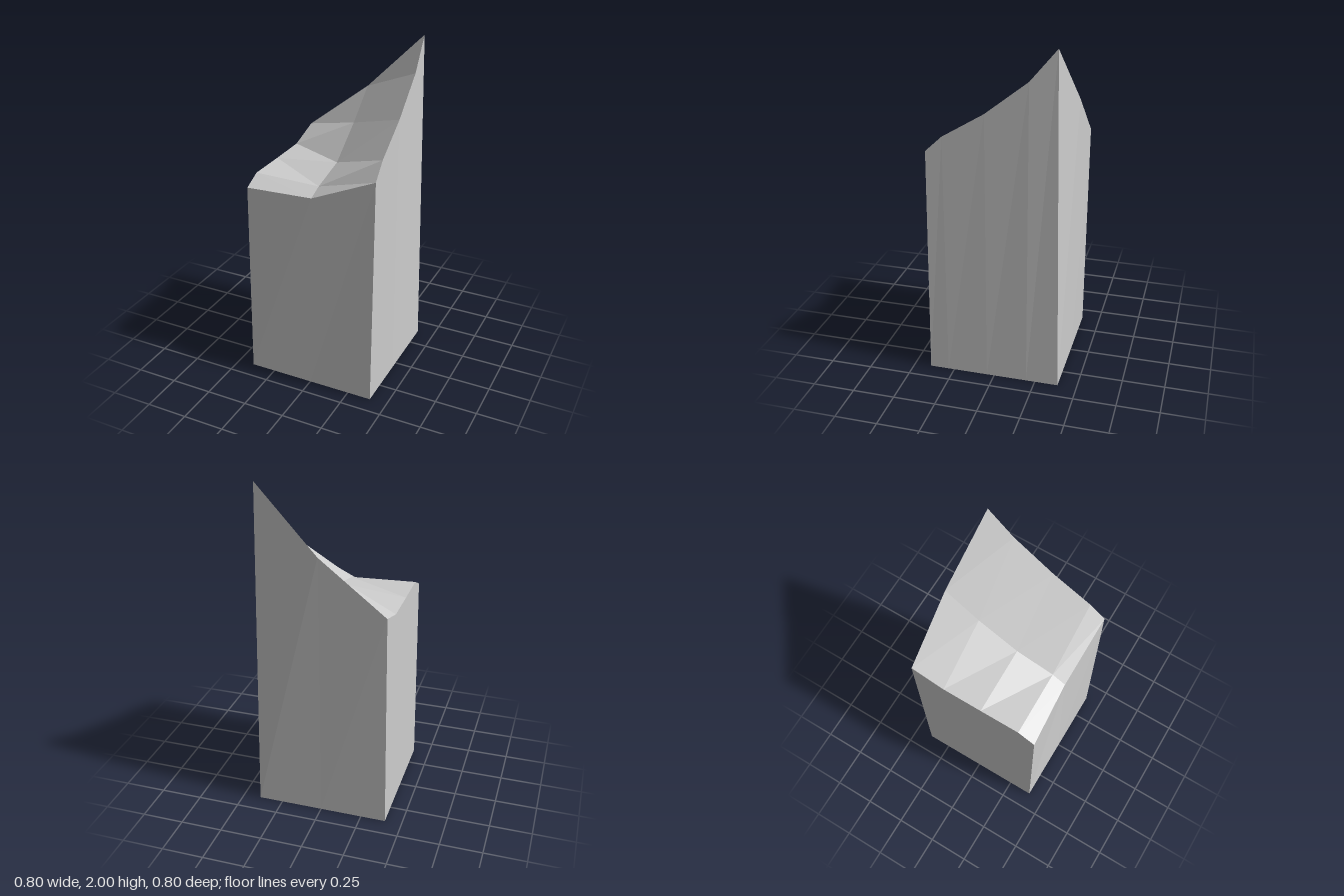
import * as THREE from 'three';

// Top surface control grid: rows run back to front, columns run -x to +x, each point [x, y, z]
const TOP = [
  [[-0.385, 1.333, -0.40], [0.0, 1.635, -0.40], [0.366, 2.0, -0.347]],
  [[-0.383, 1.27, -0.197], [0.003, 1.47, -0.197], [0.377, 1.82, -0.197]],
  [[-0.383, 1.267, 0.045], [0.01, 1.31, 0.045], [0.386, 1.63, 0.045]],
  [[-0.383, 1.267, 0.286], [0.01, 1.255, 0.278], [0.393, 1.485, 0.284]],
  [[-0.385, 1.215, 0.39], [0.006, 1.216, 0.362], [0.397, 1.395, 0.38]],
];

// Base grid: same layout, flat on the ground
const ROW_Z = [-0.388, -0.197, 0.045, 0.285, 0.398];
const BASE = ROW_Z.map((z) => [[-0.399, 0, z], [0, 0, z], [0.394, 0, z]]);

function facetedMesh(name, quads, material) {
  const positions = quads.flatMap(([a, b, c, d]) => [a, b, c, a, c, d].flat());
  const geometry = new THREE.BufferGeometry();
  geometry.setAttribute('position', new THREE.Float32BufferAttribute(positions, 3));
  geometry.computeVertexNormals();
  const mesh = new THREE.Mesh(geometry, material);
  mesh.name = name;
  return mesh;
}

function gridQuads(grid) {
  const quads = [];
  for (let r = 0; r < grid.length - 1; r++) {
    for (let c = 0; c < 2; c++) {
      quads.push([grid[r][c], grid[r + 1][c], grid[r + 1][c + 1], grid[r][c + 1]]);
    }
  }
  return quads;
}

// Outer loop of a grid, counter-clockwise seen from above
function rim(grid) {
  const last = grid.length - 1;
  return [
    ...grid.map((row) => row[0]),
    grid[last][1],
    ...grid.map((row) => row[2]).reverse(),
    grid[0][1],
  ];
}

export function createModel() {
  const stone = new THREE.MeshStandardMaterial({ color: 0xcccccc, flatShading: true });
  stone.name = 'grey stone';

  const group = new THREE.Group();
  group.name = 'rockPillar';

  // Sloping, hollowed top
  group.add(facetedMesh('slopedTop', gridQuads(TOP), stone));

  // Walls joining the base to the top rim
  const lower = rim(BASE);
  const upper = rim(TOP);
  const walls = lower.map((p, i) => {
    const j = (i + 1) % lower.length;
    return [p, lower[j], upper[j], upper[i]];
  });
  group.add(facetedMesh('walls', walls, stone));

  // Underside
  group.add(facetedMesh('underside', gridQuads(BASE).map((q) => q.reverse()), stone));

  return group;
}
